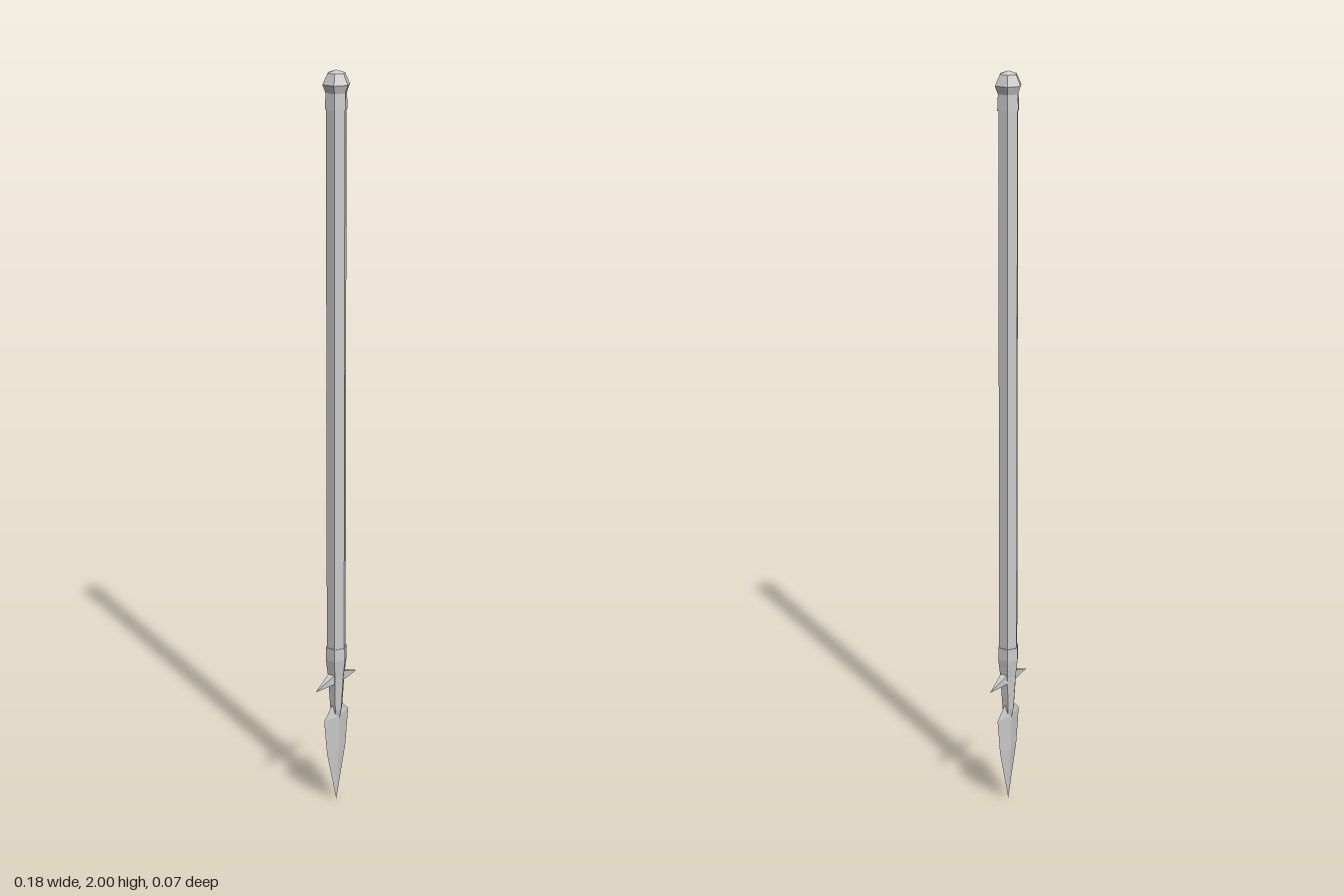
import * as THREE from 'three';

const material = new THREE.MeshStandardMaterial({ color: 0xcccccc, flatShading: true });

// Faceted turned part; profile is [radius, y] from bottom to top
function turned(name, profile, sides = 6) {
  const points = profile.map(([r, y]) => new THREE.Vector2(r, y));
  const mesh = new THREE.Mesh(new THREE.LatheGeometry(points, sides), material);
  mesh.name = name;
  return mesh;
}

export function createModel() {
  const spear = new THREE.Group();
  spear.name = 'spear';

  // Hexagonal shaft
  spear.add(turned('shaft', [[0, 0.42], [0.027, 0.42], [0.027, 1.93], [0, 1.93]]));

  // Butt cap: flared collar and rounded knob
  spear.add(turned('buttCap', [
    [0, 1.905], [0.03, 1.905], [0.028, 1.945], [0.036, 1.965], [0.023, 1.992], [0, 2],
  ]));

  // Socket that tapers to a point over the blade
  spear.add(turned('socket', [
    [0, 0.21], [0.017, 0.28], [0.024, 0.38], [0.03, 0.43], [0.029, 0.465], [0, 0.465],
  ]));

  // Leaf blade with a central ridge, flattened front to back
  const blade = turned('blade', [
    [0, 0], [0.04, 0.155], [0.052, 0.258], [0.02, 0.292], [0, 0.292],
  ], 4);
  blade.geometry.scale(1, 1, 0.2);
  spear.add(blade);

  // Side spikes: a box whose outer end collapses to a point level with its underside
  const length = 0.076, height = 0.03;
  const spikeGeometry = new THREE.BoxGeometry(length, height, 0.023);
  spikeGeometry.translate(length / 2, height / 2, 0);
  const position = spikeGeometry.attributes.position;
  for (let i = 0; i < position.count; i++) {
    if (position.getX(i) > length / 2) position.setXYZ(i, length, 0, 0);
  }
  for (const side of [1, -1]) {
    const spike = new THREE.Mesh(spikeGeometry, material);
    spike.name = side > 0 ? 'leftSpike' : 'rightSpike';
    spike.position.set(side * 0.012, 0.36, 0);
    spike.rotation.y = side > 0 ? 0 : Math.PI;
    spear.add(spike);
  }

  return spear;
}
